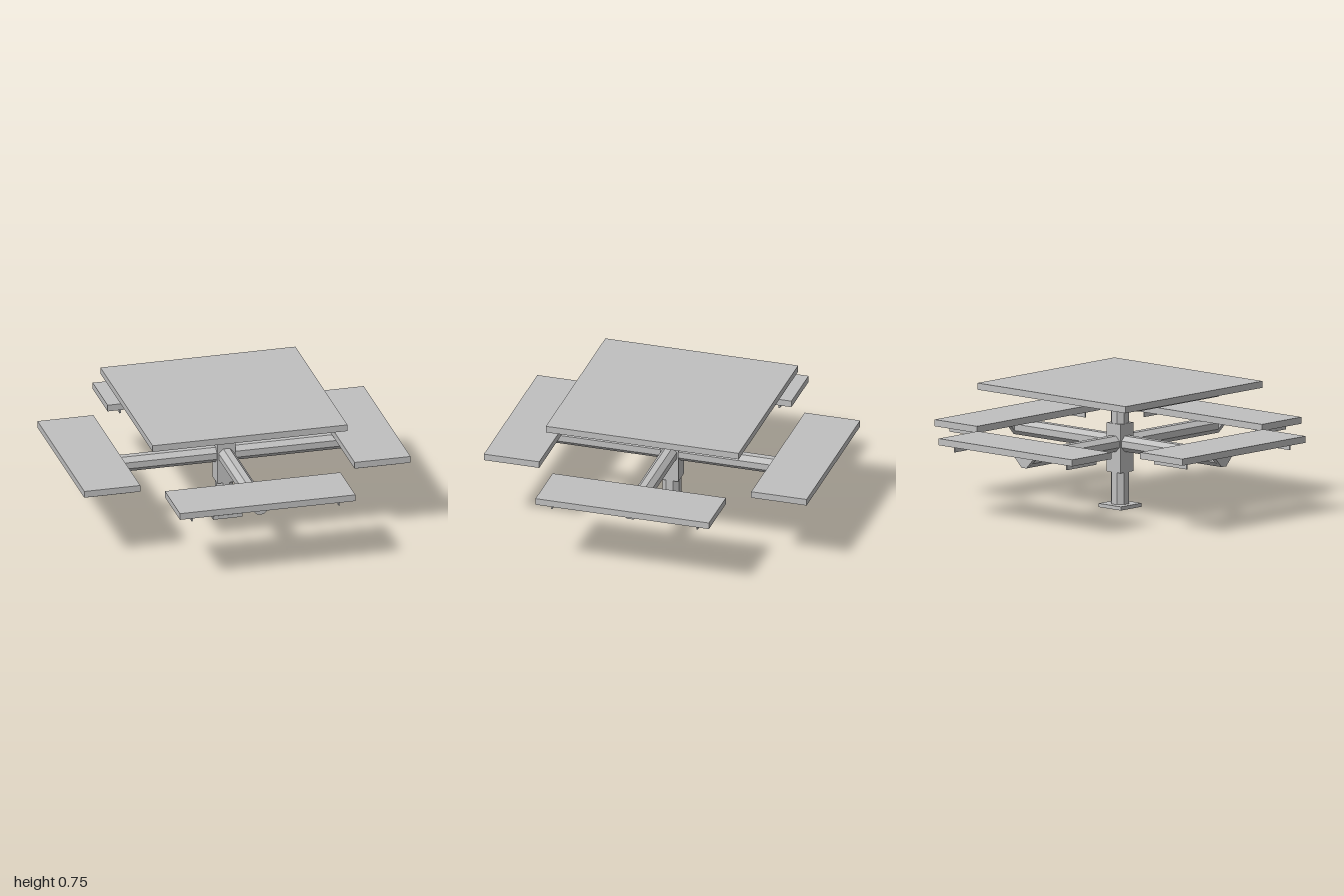
import * as THREE from 'three';

export function createModel() {
  const model = new THREE.Group();
  const steel = new THREE.MeshStandardMaterial({ color: 0xc0c0c0 });
  steel.name = 'galvanised grey';

  function add(parent, name, geometry) {
    const mesh = new THREE.Mesh(geometry, steel);
    mesh.name = name;
    parent.add(mesh);
    return mesh;
  }
  // Box given by its size and centre
  function box(parent, name, w, h, d, x, y, z) {
    return add(parent, name, new THREE.BoxGeometry(w, h, d).translate(x, y, z));
  }
  // Octagon with flats facing the axes, measured to its flats
  function octagon(apothem) {
    const r = apothem / Math.cos(Math.PI / 8);
    return Array.from({ length: 8 }, (_, i) => {
      const a = (i + 0.5) * Math.PI / 4;
      return new THREE.Vector2(Math.cos(a) * r, Math.sin(a) * r);
    });
  }
  function extrude(points, depth, hole) {
    const shape = new THREE.Shape(points);
    if (hole) shape.holes.push(new THREE.Path(hole));
    return new THREE.ExtrudeGeometry(shape, { depth, bevelEnabled: false });
  }
  function square(h) {
    return [[-h, -h], [h, -h], [h, h], [-h, h]].map(p => new THREE.Vector2(...p));
  }
  function upright(points, y0, y1, hole) {
    return extrude(points, y1 - y0, hole).rotateX(-Math.PI / 2).translate(0, y0, 0);
  }
  // T-section rail running along z below a board
  function rail(parent, name, x, top, z, length, drop) {
    box(parent, name + 'Flange', 0.032, 0.01, length, x, top - 0.005, z);
    box(parent, name + 'Web', 0.008, drop, length, x, top - drop / 2, z);
  }

  // Pedestal
  add(model, 'basePlate', upright(square(0.09), 0, 0.022, octagon(0.042)));
  add(model, 'column', upright(octagon(0.051), 0.01, 0.705, octagon(0.042)));
  add(model, 'armSleeve', upright(square(0.056), 0.215, 0.508, octagon(0.049)));

  // Table top and its supports
  const table = new THREE.Group();
  table.name = 'table';
  model.add(table);
  box(table, 'tableTop', 1.194, 0.04, 1.194, 0, 0.73, 0);
  box(table, 'columnCap', 0.2, 0.01, 0.2, 0, 0.703, 0);
  box(table, 'tableCrossBar', 0.96, 0.012, 0.05, 0, 0.704, 0);
  for (const s of [-1, 1]) rail(table, 'tableRail', s * 0.467, 0.71, 0, 0.71, 0.036);

  // Four identical arms with seats
  for (let k = 0; k < 4; k++) {
    const unit = new THREE.Group();
    unit.name = 'seatUnit';
    unit.rotation.y = k * Math.PI / 2;
    model.add(unit);

    add(unit, 'arm', extrude(octagon(0.047), 0.77).translate(0, 0.388, 0.045));

    // Flared bracket closing the arm and carrying the seat
    const flare = [[-0.02, 0.341], [0.02, 0.341], [0.09, 0.415], [0.09, 0.435], [-0.09, 0.435], [-0.09, 0.415]];
    add(unit, 'seatBracket', extrude(flare.map(p => new THREE.Vector2(...p)), 0.03).translate(0, 0, 0.808));

    box(unit, 'seat', 1.074, 0.04, 0.343, 0, 0.455, 0.828);
    box(unit, 'seatCrossBar', 0.92, 0.013, 0.05, 0, 0.4285, 0.825);
    for (const s of [-1, 1]) rail(unit, 'seatRail', s * 0.45, 0.435, 0.825, 0.26, 0.038);
  }
  return model;
}
